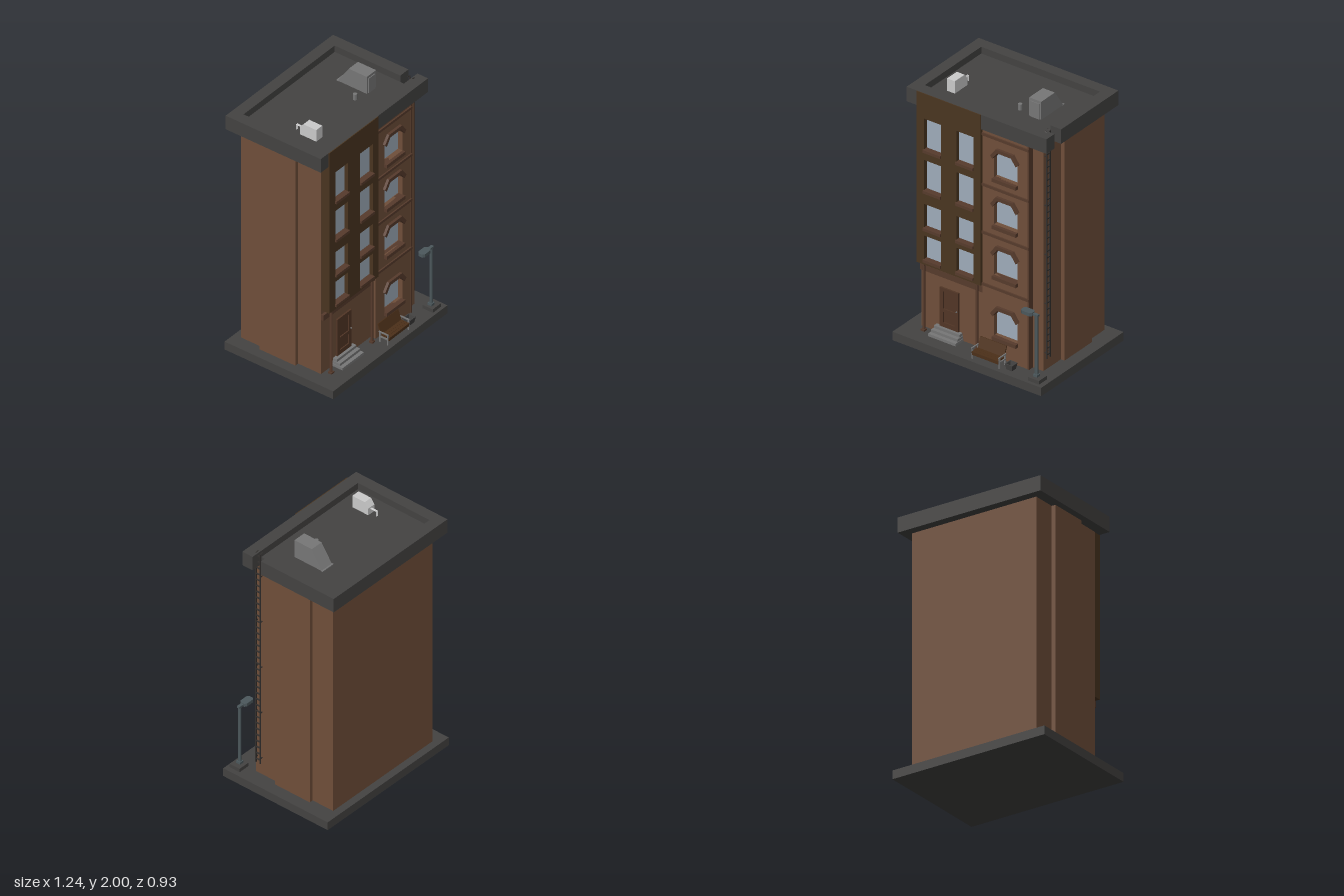
import * as THREE from 'three';

const mat = (color) => new THREE.MeshStandardMaterial({ color, flatShading: true });
const M = {
  brick: mat(0x704f3a), dark: mat(0x4a3520), trim: mat(0x573b2c), roof: mat(0x444342),
  glass: mat(0x9fadbb), stone: mat(0x777777), light: mat(0xcccccc), door: mat(0x523626),
  wood: mat(0x4c3019), iron: mat(0x33302e), lamp: mat(0x4c585c),
};

export function createModel() {
  const root = new THREE.Group();
  let target = root;
  const group = (name) => {
    target = new THREE.Group();
    target.name = name;
    root.add(target);
    return target;
  };
  const add = (name, geo, m) => {
    const mesh = new THREE.Mesh(geo, m);
    mesh.name = name;
    target.add(mesh);
    return mesh;
  };
  // box given by its limits on each axis
  const box = (name, m, x0, x1, y0, y1, z0, z1) => {
    const b = add(name, new THREE.BoxGeometry(x1 - x0, y1 - y0, z1 - z0), m);
    b.position.set((x0 + x1) / 2, (y0 + y1) / 2, (z0 + z1) / 2);
    return b;
  };
  const tube = (name, m, a, b, r, sides = 8) => {
    const p = new THREE.Vector3(...a), q = new THREE.Vector3(...b);
    const t = add(name, new THREE.CylinderGeometry(r, r, p.distanceTo(q), sides), m);
    t.position.copy(p).lerp(q, 0.5);
    t.quaternion.setFromUnitVectors(new THREE.Vector3(0, 1, 0), q.sub(p).normalize());
    return t;
  };
  const poly = (pts) => new THREE.Shape(pts.map((p) => new THREE.Vector2(...p)));
  const rect = (x0, x1, y0, y1) => [[x0, y0], [x1, y0], [x1, y1], [x0, y1]];
  // outline facing +z with holes, from z0 to z1
  const panel = (name, m, pts, holes, z0, z1) => {
    const s = poly(pts);
    s.holes = holes.map(poly);
    const p = add(name, new THREE.ExtrudeGeometry(s, { depth: z1 - z0, bevelEnabled: false }), m);
    p.position.z = z0;
    return p;
  };
  // plan outline in [x, z], from y0 to y1
  const plan = (name, m, pts, y0, y1) => {
    const g = new THREE.ExtrudeGeometry(poly(pts.map(([x, z]) => [x, -z])), { depth: y1 - y0, bevelEnabled: false });
    const p = add(name, g.rotateX(-Math.PI / 2), m);
    p.position.y = y0;
  };
  // side outline in [z, y], from x0 to x1
  const side = (name, m, pts, x0, x1) => {
    const g = new THREE.ExtrudeGeometry(poly(pts.map(([z, y]) => [-z, y])), { depth: x1 - x0, bevelEnabled: false });
    const p = add(name, g.rotateY(Math.PI / 2), m);
    p.position.x = x0;
  };

  // pavement, main walls and shallow side projections
  group('building');
  box('pavement', M.roof, -0.62, 0.62, 0, 0.065, -0.455, 0.465);
  box('walls', M.brick, -0.515, 0.5, 0.065, 1.81, -0.4, 0.28);
  box('sideProjections', M.brick, -0.545, 0.53, 0.065, 1.81, -0.22, 0.085);

  // right bay with chamfered windows
  group('brickBay');
  const bayRows = [[0.23, 0.44], [0.7, 0.91], [1.09, 1.29], [1.455, 1.66]];
  const arch = (y0, y1) => [[0.12, y0], [0.315, y0], [0.315, y1 - 0.055], [0.275, y1], [0.16, y1], [0.12, y1 - 0.055]];
  panel('bayWall', M.brick, rect(0.025, 0.41, 0.065, 1.81), bayRows.map((r) => arch(...r)), 0.28, 0.322);
  for (const [y0, y1] of bayRows) {
    box('bayGlass', M.glass, 0.115, 0.32, y0 - 0.005, y1 + 0.005, 0.27, 0.286);
    box('baySill', M.trim, 0.117, 0.318, y0 - 0.027, y0, 0.29, 0.345);
    panel('bayHood', M.trim, [[0.12, y1 - 0.055], [0.16, y1], [0.275, y1], [0.315, y1 - 0.055],
      [0.333, y1 - 0.035], [0.288, y1 + 0.027], [0.147, y1 + 0.027], [0.102, y1 - 0.035]], [], 0.31, 0.342);
  }
  for (const y of [0.6, 1.0, 1.37, 1.76])
    box('stringCourse', M.trim, 0.025, 0.412, y - 0.01, y + 0.01, 0.3, 0.332);
  box('cornerTrim', M.trim, 0.404, 0.414, 0.065, 1.8, 0.28, 0.327);

  // overhanging dark front with two columns of windows
  group('overhangingFront');
  const rows = [[0.63, 0.815], [0.875, 1.06], [1.165, 1.4], [1.48, 1.72]];
  const openings = [];
  for (const x of [-0.445, -0.175]) for (const [y0, y1] of rows) {
    openings.push(rect(x, x + 0.14, y0, y1));
    box('glass', M.glass, x - 0.005, x + 0.145, y0 - 0.005, y1 + 0.005, 0.29, 0.315);
    box('sill', M.trim, x - 0.003, x + 0.143, y0 - 0.018, y0 + 0.003, 0.3, 0.36);
  }
  panel('frontWall', M.dark, rect(-0.51, 0.025, 0.59, 1.912), openings, 0.28, 0.346);

  // entrance under the overhang
  group('entrance');
  box('lintelBand', M.trim, -0.513, 0.025, 0.51, 0.555, 0.27, 0.3);
  for (const x of [-0.463, -0.02]) {
    tube('column', M.trim, [x, 0.065, 0.325], [x, 0.59, 0.325], 0.01);
    box('columnFoot', M.trim, x - 0.015, x + 0.015, 0.065, 0.078, 0.31, 0.34);
    box('columnCap', M.trim, x - 0.015, x + 0.015, 0.575, 0.59, 0.31, 0.34);
  }
  box('doorLeaf', M.door, -0.355, -0.2, 0.125, 0.425, 0.27, 0.285);
  panel('doorFrame', M.door, rect(-0.355, -0.2, 0.125, 0.425),
    [rect(-0.325, -0.23, 0.16, 0.24), rect(-0.325, -0.23, 0.265, 0.4)], 0.285, 0.293);
  const knob = add('doorKnob', new THREE.SphereGeometry(0.006, 8, 6), M.stone);
  knob.position.set(-0.211, 0.28, 0.298);
  for (let i = 0; i < 3; i++)
    box('step', M.stone, -0.395 + i * 0.004, -0.165 - i * 0.004, 0.065 + i * 0.02, 0.085 + i * 0.02, 0.275, 0.37 - i * 0.028);

  // roof slab and parapet, notched for the ladder
  group('roof');
  plan('roofSlab', M.roof, [[-0.595, 0.34], [0.57, 0.34], [0.57, 0.25], [0.48, 0.25], [0.48, 0.175],
    [0.57, 0.175], [0.57, -0.465], [-0.595, -0.465]], 1.8, 1.86);
  plan('parapet', M.roof, [[-0.595, 0.34], [0.57, 0.34], [0.57, 0.25], [-0.51, 0.25], [-0.51, -0.38],
    [0.48, -0.38], [0.48, 0.175], [0.57, 0.175], [0.57, -0.465], [-0.595, -0.465]], 1.86, 1.912);
  side('stairHouse', M.stone, [[0.083, 1.86], [0.083, 2], [-0.07, 2], [-0.165, 1.86]], 0.235, 0.335);
  box('stairDoor', M.stone, 0.25, 0.32, 1.86, 1.98, 0.08, 0.089);
  box('stairFoot', M.stone, 0.23, 0.34, 1.86, 1.867, -0.172, -0.155);
  side('coolingUnit', M.light, [[0.15, 1.86], [0.15, 1.955], [0.04, 1.955], [0.01, 1.915], [0.01, 1.86]], -0.4, -0.335);
  for (const x of [-0.371, -0.362]) {
    tube('coolingPipe', M.light, [x, 1.9, 0.015], [x, 1.9, -0.04], 0.004);
    tube('coolingPipe', M.light, [x, 1.903, -0.04], [x, 1.86, -0.04], 0.004);
  }
  tube('ventPipe', M.stone, [0.14, 1.86, 0.057], [0.14, 1.905, 0.057], 0.015, 10);

  // wall ladder
  group('ladder');
  for (const z of [0.227, 0.265]) {
    box('rail', M.iron, 0.512, 0.52, 0.16, 1.91, z - 0.004, z + 0.004);
    tube('topHook', M.iron, [0.518, 1.912, z], [0.495, 1.918, z], 0.004, 6);
    for (let y = 0.2; y < 1.8; y += 0.38) box('bracket', M.iron, 0.498, 0.515, y, y + 0.008, z - 0.003, z + 0.003);
  }
  for (let i = 0; i < 35; i++)
    box('rung', M.iron, 0.512, 0.52, 0.186 + i * 0.05, 0.194 + i * 0.05, 0.227, 0.265);

  // bench with tilted back
  group('bench');
  for (let i = 0; i < 3; i++) box('seatSlat', M.wood, 0.022, 0.24, 0.115, 0.125, 0.372 + i * 0.023, 0.394 + i * 0.023);
  side('backRest', M.wood, [[0.372, 0.125], [0.345, 0.2], [0.337, 0.197], [0.364, 0.12]], 0.022, 0.24);
  for (const x of [0.014, 0.24]) {
    box('frontLeg', M.stone, x, x + 0.009, 0.065, 0.145, 0.425, 0.434);
    box('backLeg', M.stone, x, x + 0.009, 0.065, 0.145, 0.36, 0.369);
    box('armRest', M.stone, x, x + 0.009, 0.142, 0.15, 0.355, 0.436);
    box('seatRail', M.stone, x, x + 0.009, 0.105, 0.115, 0.36, 0.434);
  }
  box('seatFront', M.wood, 0.022, 0.24, 0.098, 0.118, 0.428, 0.437);

  // tapered litter bin, open at the top
  group('litterBin');
  const r = Math.SQRT1_2;
  const profile = [[0, 0], [0.046, 0], [0.062, 0.045], [0.05, 0.045], [0.042, 0.012], [0, 0.012]];
  const bin = add('bin', new THREE.LatheGeometry(profile.map(([w, y]) => new THREE.Vector2(w * r, y)), 4, Math.PI / 4), M.iron);
  bin.material = M.roof.clone();
  bin.material.side = THREE.DoubleSide;
  bin.position.set(0.31, 0.065, 0.385);

  // street lamp
  group('streetLamp');
  box('lampBase', M.roof, 0.492, 0.583, 0.065, 0.093, 0.353, 0.441);
  box('lampFoot', M.lamp, 0.513, 0.547, 0.093, 0.11, 0.38, 0.414);
  tube('pole', M.lamp, [0.53, 0.093, 0.397], [0.53, 0.57, 0.397], 0.012);
  box('arm', M.lamp, 0.49, 0.546, 0.557, 0.572, 0.386, 0.408);
  plan('lampHead', M.lamp, [[0.413, 0.38], [0.413, 0.414], [0.428, 0.425], [0.49, 0.425], [0.503, 0.412],
    [0.503, 0.382], [0.49, 0.369], [0.428, 0.369]], 0.553, 0.578);

  return root;
}
